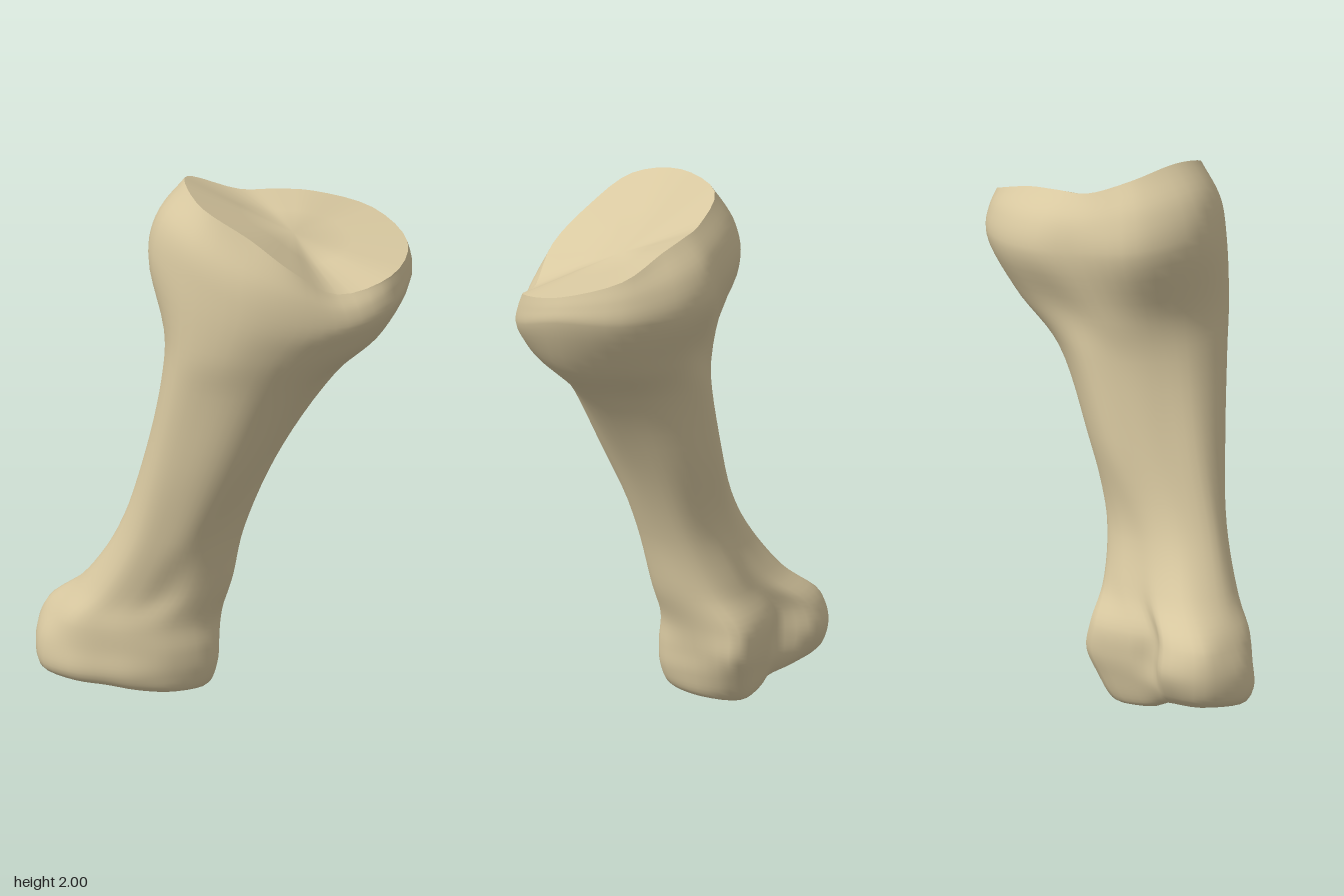
import * as THREE from 'three';

const COLUMNS = 12;   // control points around each cross-section, from +x towards +z
const AROUND = 48;    // sampled points around
const ALONG = 66;     // sampled rows from head to foot

// Flared head: a slanted rim, and the widest line below it
const rim = {
  c: [0.2, 0],
  y: [1.735, 1.685, 1.65, 1.755, 1.87, 1.965, 2.0, 1.96, 1.885, 1.875, 1.86, 1.8],
  r: [0.46, 0.43, 0.335, 0.325, 0.31, 0.365, 0.36, 0.36, 0.26, 0.24, 0.28, 0.41],
};
const brim = {
  c: [0.2, 0],
  y: [1.64, 1.57, 1.53, 1.55, 1.6, 1.68, 1.72, 1.69, 1.66, 1.65, 1.64, 1.64],
  r: [0.475, 0.445, 0.395, 0.385, 0.42, 0.46, 0.495, 0.465, 0.345, 0.36, 0.395, 0.45],
};
// Rounded shoulder between the two
const shoulder = {
  c: rim.c,
  y: rim.y.map((y, i) => y * 0.55 + brim.y[i] * 0.45),
  r: rim.r.map((r, i) => r * 0.25 + brim.r[i] * 0.75),
};

// Shaft, leaning towards -x on its way down, flattened at its -x back corner
const shaft = [
  { y: 1.43, c: [0.12, 0.03], r: [0.45, 0.41, 0.35, 0.335, 0.355, 0.385, 0.36, 0.325, 0.3, 0.295, 0.345, 0.415] },
  { y: 1.26, c: [0.05, 0.03], r: [0.345, 0.29, 0.28, 0.285, 0.295, 0.33, 0.3, 0.255, 0.25, 0.28, 0.285, 0.31] },
  { y: 0.95, c: [-0.06, 0], r: [0.25, 0.22, 0.23, 0.235, 0.24, 0.265, 0.25, 0.205, 0.205, 0.235, 0.24, 0.25] },
  { y: 0.65, c: [-0.17, -0.03], r: [0.235, 0.21, 0.18, 0.175, 0.18, 0.215, 0.235, 0.21, 0.185, 0.175, 0.2, 0.24] },
  { y: 0.43, c: [-0.25, -0.1], r: [0.275, 0.265, 0.215, 0.18, 0.2, 0.25, 0.275, 0.265, 0.195, 0.155, 0.195, 0.26] },
];

// Foot with two knuckles and a notch between them at the back
const footCentre = [-0.35, -0.15];
const soleRadii = [0.29, 0.3, 0.255, 0.215, 0.205, 0.25, 0.31, 0.285, 0.175, 0.11, 0.14, 0.255];
const soleHeights = [0.012, 0.025, 0.035, 0.045, 0.055, 0.06, 0.065, 0.067, 0.055, 0.03, 0.01, 0.0];
const foot = [
  { y: 0.3, r: [0.345, 0.335, 0.27, 0.235, 0.23, 0.26, 0.275, 0.315, 0.24, 0.14, 0.195, 0.345] },
  { y: 0.2, r: [0.33, 0.34, 0.28, 0.24, 0.23, 0.27, 0.325, 0.345, 0.27, 0.145, 0.2, 0.36] },
  { y: 0.11, r: [0.32, 0.335, 0.275, 0.24, 0.23, 0.275, 0.33, 0.325, 0.225, 0.145, 0.18, 0.32] },
  { y: soleHeights.map((y) => y + 0.012), r: soleRadii },
  { y: soleHeights, r: soleRadii.map((r) => r * 0.75) },
].map((section) => ({ ...section, c: footCentre }));

const ringPoints = ({ c, y, r }) => r.map((radius, i) => {
  const a = (i / COLUMNS) * Math.PI * 2;
  return new THREE.Vector3(
    c[0] + radius * Math.cos(a), Array.isArray(y) ? y[i] : y, c[1] + radius * Math.sin(a));
});

// Smooth rows of points through all cross-sections
function sampleRows(sections) {
  const rings = sections.map(ringPoints);
  const columns = [];
  for (let j = 0; j < COLUMNS; j++) {
    columns.push(new THREE.CatmullRomCurve3(rings.map((ring) => ring[j])).getPoints(ALONG));
  }
  const rows = [];
  for (let i = 0; i <= ALONG; i++) {
    const loop = new THREE.CatmullRomCurve3(columns.map((col) => col[i]), true);
    rows.push(loop.getPoints(AROUND).slice(0, AROUND));
  }
  return rows;
}

function buildGeometry(points, index) {
  const geometry = new THREE.BufferGeometry().setFromPoints(points);
  geometry.setIndex(index);
  geometry.computeVertexNormals();
  return geometry;
}

// Side walls, closed at the last row by a fan
function wallGeometry(rows, centre) {
  const index = [];
  const last = rows.length - 1;
  for (let i = 0; i <= last; i++) {
    for (let j = 0; j < AROUND; j++) {
      const k = (j + 1) % AROUND;
      const a = i * AROUND + j;
      const b = i * AROUND + k;
      if (i < last) index.push(a, b, a + AROUND, b, b + AROUND, a + AROUND);
      else index.push(rows.length * AROUND, a, b);
    }
  }
  return buildGeometry([...rows.flat(), centre], index);
}

// Shallow dished face within the rim
function dishGeometry(ring, centre) {
  const points = [centre, ...ring.map((p) => p.clone().lerp(centre, 0.5)), ...ring];
  const index = [];
  for (let j = 0; j < AROUND; j++) {
    const k = (j + 1) % AROUND;
    const a = 1 + j, b = 1 + k;
    index.push(0, b, a, a, b, a + AROUND, b, b + AROUND, a + AROUND);
  }
  return buildGeometry(points, index);
}

export function createModel() {
  const group = new THREE.Group();
  group.name = 'bone';
  const bone = new THREE.MeshStandardMaterial({ color: 0xd8c8a0 });
  bone.name = 'bone';

  const rows = sampleRows([rim, shoulder, brim, ...shaft, ...foot]);

  const body = new THREE.Mesh(wallGeometry(rows, new THREE.Vector3(-0.33, 0.045, -0.14)), bone);
  body.name = 'shaftAndFoot';
  const dish = new THREE.Mesh(dishGeometry(rows[0], new THREE.Vector3(0.24, 1.79, 0)), bone);
  dish.name = 'jointFace';
  group.add(body, dish);
  return group;
}
